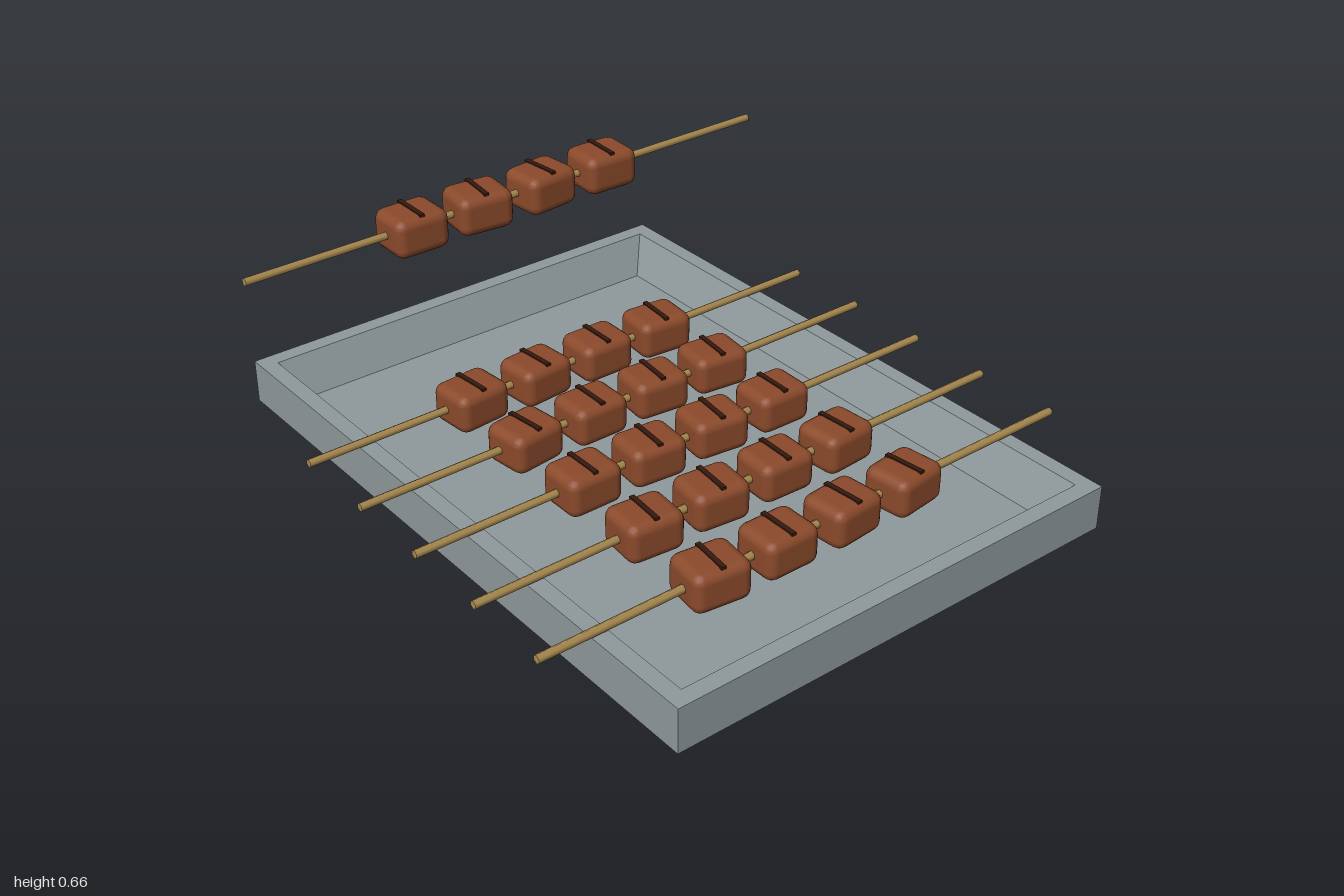
import * as THREE from 'three';
import { RoundedBoxGeometry } from 'three/addons/geometries/RoundedBoxGeometry.js';

const material = (name, color) => {
  const m = new THREE.MeshStandardMaterial({ color });
  m.name = name;
  return m;
};

// Rectangular tray skin: rings of [half width, y, half depth] from underside to floor
function trayGeometry() {
  const rings = [
    [0, 0, 0], [1, 0, 0.73], [1, 0.135, 0.73],
    [0.95, 0.135, 0.68], [0.893, 0.02, 0.623], [0, 0.02, 0],
  ];
  const corners = [[-1, 1], [1, 1], [1, -1], [-1, -1]];
  const points = [], index = [];
  rings.forEach(([w, y, d], r) => corners.forEach(([sx, sz], k) => {
    points.push(sx * w, y, sz * d);
    if (r === rings.length - 1) return;
    const next = (k + 1) % 4;
    const a = r * 4 + k, b = r * 4 + next;
    if (r > 0) index.push(a, b, b + 4);
    if (r < rings.length - 2) index.push(a, b + 4, a + 4);
  }));
  const indexed = new THREE.BufferGeometry();
  indexed.setAttribute('position', new THREE.Float32BufferAttribute(points, 3));
  indexed.setIndex(index);
  const geometry = indexed.toNonIndexed();
  geometry.computeVertexNormals();
  return geometry;
}

export function createModel() {
  const model = new THREE.Group();
  model.name = 'skewerTray';

  const steel = material('steel', 0x8f999b);
  const meat = material('grilled meat', 0x8b4a2b);
  const char = material('char', 0x35190f);
  const wood = material('bamboo', 0xa98a50);

  const add = (parent, name, geometry, mat, x = 0, y = 0, z = 0) => {
    const mesh = new THREE.Mesh(geometry, mat);
    mesh.name = name;
    mesh.position.set(x, y, z);
    parent.add(mesh);
    return mesh;
  };

  add(model, 'tray', trayGeometry(), steel);

  const stickGeometry = new THREE.CylinderGeometry(0.0125, 0.0125, 1.78, 6).rotateX(Math.PI / 2);
  const chunkGeometry = new RoundedBoxGeometry(0.148, 0.12, 0.174, 2, 0.03);
  const markGeometry = new THREE.BoxGeometry(0.122, 0.008, 0.015);

  // Slight twist of every chunk in degrees, one row per skewer, back to front
  const twists = [
    [-2, 6, -6, 0], [-5, 0, 5, 5], [-7, -6, 0, 7],
    [-1, -7, -5, 0], [4, -2, -6, -5], [7, 5, 0, -7],
  ];

  twists.forEach((row, i) => {
    const skewer = new THREE.Group();
    skewer.name = i === 0 ? 'liftedSkewer' : 'traySkewer' + i;
    // The first skewer is raised above the tray
    skewer.position.set(-0.667 + i * 0.2667, i === 0 ? 0.594 : 0.148, 0);
    add(skewer, 'stick', stickGeometry, wood);

    row.forEach((degrees, j) => {
      const chunk = new THREE.Group();
      chunk.name = 'meatChunk' + (j + 1);
      chunk.position.z = -0.313 + j * 0.2235;
      chunk.rotation.y = THREE.MathUtils.degToRad(degrees);
      add(chunk, 'meat', chunkGeometry, meat);
      add(chunk, 'grillMark', markGeometry, char, 0, 0.06, 0);
      skewer.add(chunk);
    });
    model.add(skewer);
  });

  return model;
}
